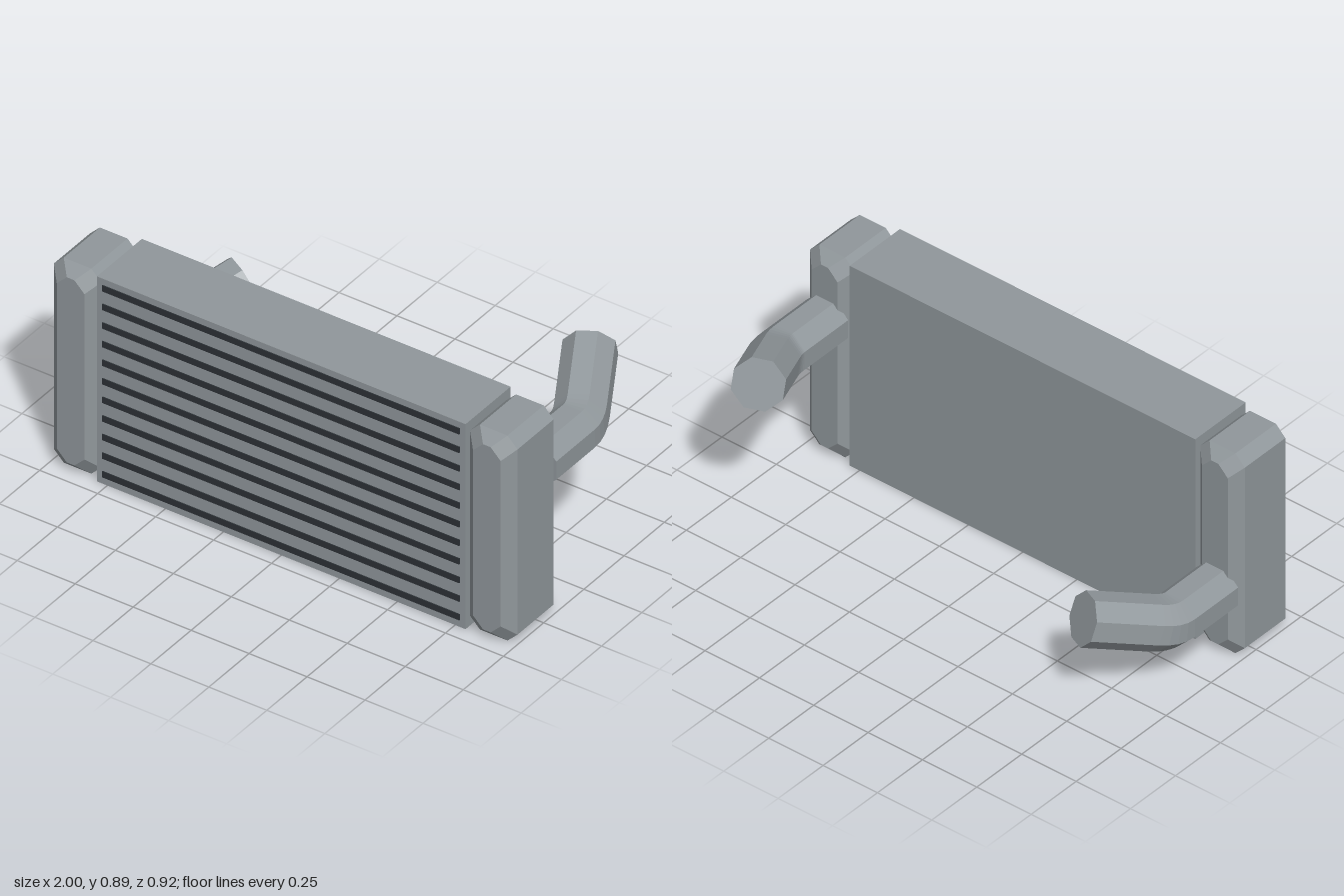
import * as THREE from 'three';
import { ConvexGeometry } from 'three/addons/geometries/ConvexGeometry.js';

const metal = new THREE.MeshStandardMaterial({ color: 0x90979b });
metal.name = 'grey metal';
const dark = new THREE.MeshStandardMaterial({ color: 0x2c3136 });
dark.name = 'dark slot';

function addMesh(parent, name, geometry, material, x = 0, y = 0, z = 0) {
  const mesh = new THREE.Mesh(geometry, material);
  mesh.name = name;
  mesh.position.set(x, y, z);
  parent.add(mesh);
  return mesh;
}

// Box with chamfered edges and wide, cut corners on the front and back faces
function tankGeometry(w, h, d, t) {
  const corner = [[0, 1, 1], [1, 2, 0], [2, 1, 0], [1, 0, 1]];
  const points = [];
  for (const sx of [-1, 1]) for (const sy of [-1, 1]) for (const sz of [-1, 1]) {
    for (const [a, b, c] of corner) {
      points.push(new THREE.Vector3(sx * (w / 2 - a * t), sy * (h / 2 - b * t), sz * (d / 2 - c * t)));
    }
  }
  return new ConvexGeometry(points);
}

// Octagonal pipe running straight back, then bending inwards and up
function pipeGeometry(side) {
  const straight = new THREE.Vector3(0, 0, -1);
  const outward = new THREE.Vector3(-0.15 * side, 0.112, -0.28);
  const end = outward.clone().add(new THREE.Vector3(0, 0, -0.125));
  const elbow = new THREE.Vector3(0, 0, -0.125);
  outward.normalize();

  const bend = new THREE.QuadraticBezierCurve3(
    elbow.clone().addScaledVector(straight, -0.045), elbow, elbow.clone().addScaledVector(outward, 0.06));
  const rings = [{ p: new THREE.Vector3(0, 0, 0.16), dir: straight }];
  for (let i = 0; i <= 4; i++) rings.push({ p: bend.getPoint(i / 4), dir: bend.getTangent(i / 4) });
  rings.push({ p: end, dir: outward });

  const last = rings.length - 1;
  const geo = new THREE.CylinderGeometry(0.103, 0.103, last, 8, last, false, Math.PI / 8);
  const pos = geo.attributes.position;
  const v = new THREE.Vector3();
  const q = new THREE.Quaternion();
  for (let i = 0; i < pos.count; i++) {
    const ring = rings[Math.round(pos.getY(i) + last / 2)];
    q.setFromUnitVectors(straight, ring.dir);
    v.set(pos.getX(i), pos.getZ(i), 0).applyQuaternion(q).add(ring.p);
    pos.setXYZ(i, v.x, v.y, v.z);
  }
  const flat = geo.toNonIndexed();
  flat.computeVertexNormals();
  return flat;
}

export function createModel() {
  const model = new THREE.Group();
  model.name = 'radiator';

  // Core block
  addMesh(model, 'core', new THREE.BoxGeometry(1.59, 0.89, 0.28), metal, 0, 0.445, 0.3);

  // Dark horizontal slots across the front
  const slots = new THREE.Group();
  slots.name = 'slots';
  model.add(slots);
  const slot = new THREE.BoxGeometry(1.54, 0.026, 0.006);
  for (let i = 0; i < 11; i++) addMesh(slots, 'slot', slot, dark, 0, 0.043 + i * 0.0807, 0.441);

  // End tanks and their pipes: the left pipe is high, the right one low
  const tank = tankGeometry(0.205, 0.89, 0.311, 0.043);
  for (const side of [1, -1]) {
    const label = side > 0 ? 'left' : 'right';
    addMesh(model, label + 'Tank', tank, metal, side * 0.8975, 0.445, 0.3);
    addMesh(model, label + 'Pipe', pipeGeometry(side), metal, side * 0.897, side > 0 ? 0.605 : 0.286, 0);
  }
  return model;
}
